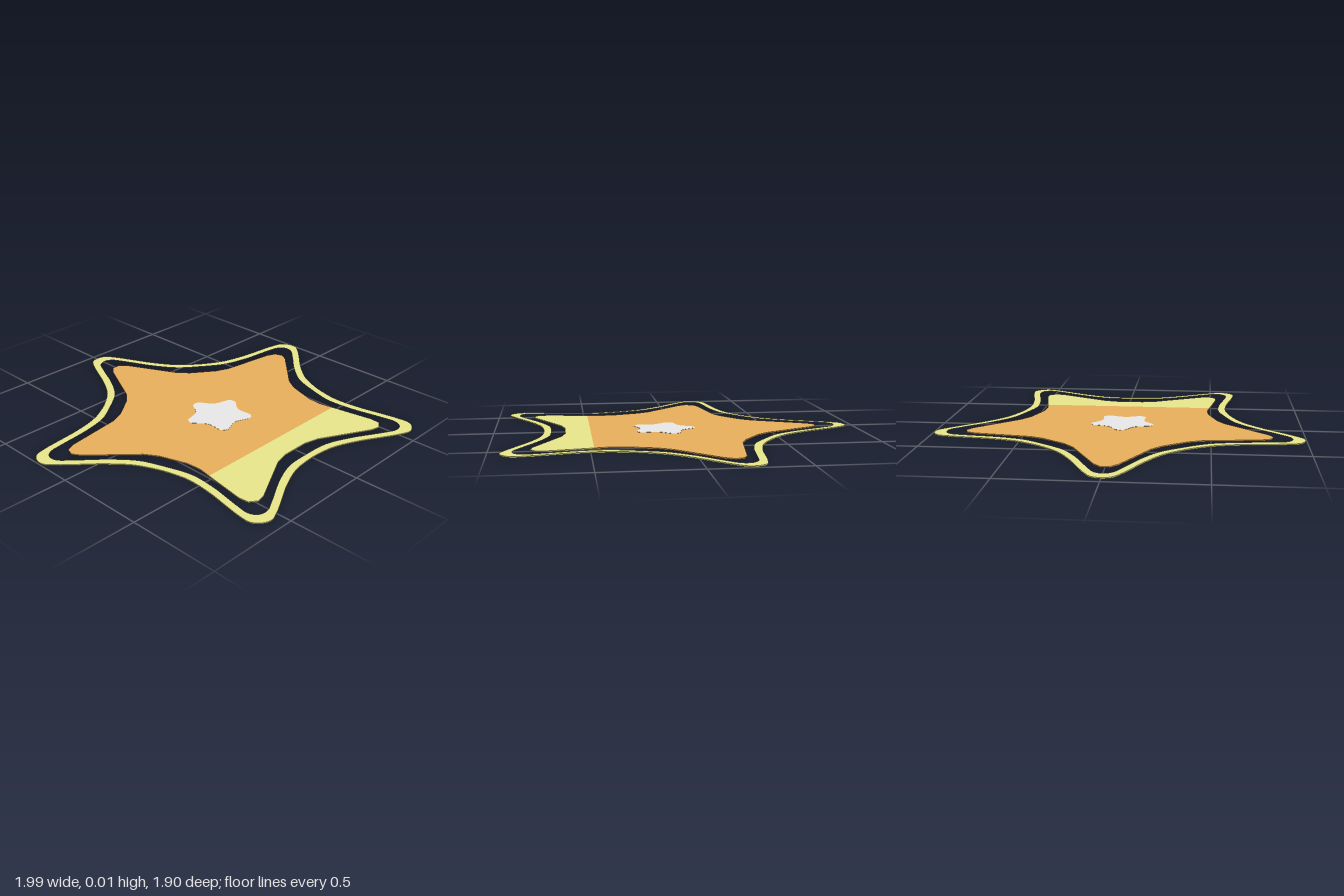
import * as THREE from 'three';

const CENTRE = -0.08; // star centre, in plan coordinates (y = -z)

// Five-armed outline from half an arm: points run from the tip towards the valley
function starPoints(half, cx = 0) {
  const arm = [...half];
  for (const [x, y] of [...half].reverse()) if (x > 0) arm.push([-x, y]);
  // order the arm from its left valley, over the tip, to its right valley
  const ordered = [
    ...half.filter(([x]) => x > 0).reverse().map(([x, y]) => [-x, y]),
    ...half,
  ];
  const points = [];
  for (let i = 0; i < 5; i++) {
    const a = (-i * Math.PI * 2) / 5;
    for (const [x, y] of ordered) {
      points.push(new THREE.Vector2(x, y)
        .rotateAround(new THREE.Vector2(), a)
        .add(new THREE.Vector2(cx, CENTRE)));
    }
  }
  return points;
}

// Closed smooth curve through the points
function smooth(points) {
  const curve = new THREE.CatmullRomCurve3(
    points.map((p) => new THREE.Vector3(p.x, p.y, 0)), true, 'centripetal');
  return curve.getPoints(240).slice(0, -1).map((p) => new THREE.Vector2(p.x, p.y));
}

// Keep the part of an outline above (side 1) or below (side -1) a level line
function clip(points, level, side) {
  const out = [];
  points.forEach((p, i) => {
    const q = points[(i + 1) % points.length];
    const dp = (p.y - level) * side;
    const dq = (q.y - level) * side;
    if (dp >= 0) out.push(p);
    if (dp * dq < 0) out.push(p.clone().lerp(q, dp / (dp - dq)));
  });
  return out;
}

// Flat plate lying on the ground plane
function plate(name, outline, material, bottom, top, hole) {
  const shape = new THREE.Shape(outline);
  if (hole) shape.holes.push(new THREE.Path(hole));
  const geometry = new THREE.ExtrudeGeometry(shape, { depth: top - bottom, bevelEnabled: false });
  geometry.rotateX(-Math.PI / 2).translate(0, bottom, 0);
  const mesh = new THREE.Mesh(geometry, material);
  mesh.name = name;
  return mesh;
}

function flat(name, color) {
  const material = new THREE.MeshStandardMaterial({ color });
  material.name = name;
  return material;
}

export function createModel() {
  const yellow = flat('pale yellow', 0xfffd99);
  const orange = flat('light orange', 0xffc166);
  const white = flat('white', 0xffffff);

  const group = new THREE.Group();
  group.name = 'starPlaque';

  // Thin border following the star, open between it and the body
  const outer = smooth(starPoints([
    [0, 1.04], [0.05, 1.025], [0.09, 0.965], [0.122, 0.9], [0.19, 0.755], [0.275, 0.622], [0.382, 0.526],
  ]));
  const inner = smooth(starPoints([
    [0, 0.973], [0.043, 0.955], [0.085, 0.88], [0.165, 0.71], [0.25, 0.583], [0.36, 0.495],
  ]));
  group.add(plate('border', outer, yellow, 0.001, 0.007, inner));

  // Faceted body, in two colours
  const body = starPoints([[0.024, 0.866], [0.06, 0.825], [0.198, 0.545], [0.252, 0.481]]);
  group.add(plate('bodyUpper', clip(body, -0.48, 1), orange, 0.001, 0.007));
  group.add(plate('bodyLower', clip(body, -0.48, -1), yellow, 0.001, 0.007));

  // Small centre star, showing on both faces
  const badge = starPoints([[0, 0.182], [0.024, 0.174], [0.055, 0.122], [0.073, 0.101]], -0.007);
  group.add(plate('centreStar', badge, white, 0, 0.008));

  return group;
}
